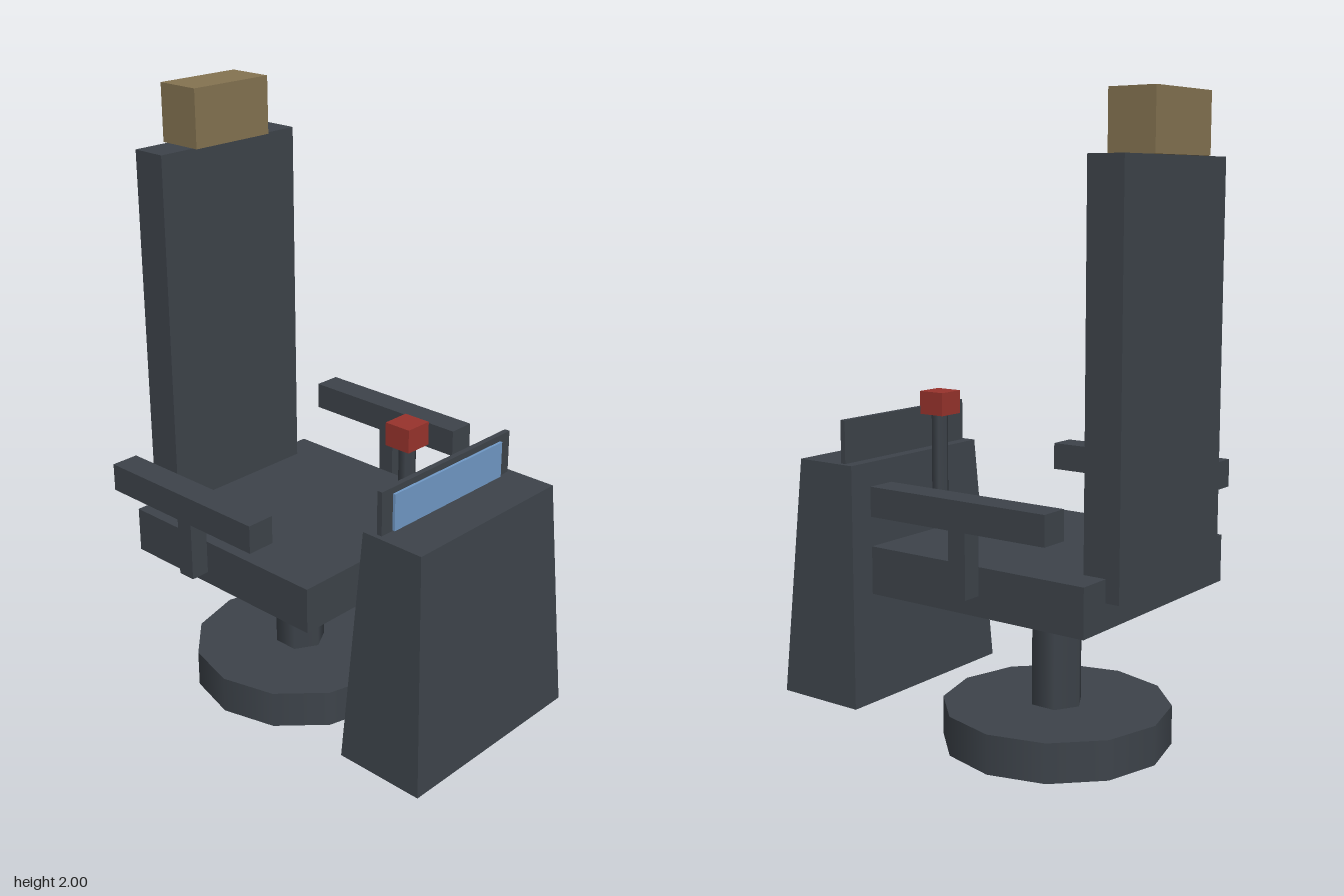
import * as THREE from 'three';

export function createModel() {
  const model = new THREE.Group();
  model.name = 'controlChair';

  const material = (name, color) => {
    const m = new THREE.MeshStandardMaterial({ color });
    m.name = name;
    return m;
  };
  const dark = material('dark grey', 0x3d434a);
  const tan = material('tan', 0x847351);
  const red = material('red', 0x98332c);
  const blue = material('screen blue', 0x7099c6);

  const add = (name, geometry, mat) => {
    const mesh = new THREE.Mesh(geometry, mat);
    mesh.name = name;
    model.add(mesh);
    return mesh;
  };
  // Box given by its extents along each axis
  const box = (name, mat, [x0, x1], [y0, y1], [z0, z1]) =>
    add(name, new THREE.BoxGeometry(x1 - x0, y1 - y0, z1 - z0), mat)
      .position.set((x0 + x1) / 2, (y0 + y1) / 2, (z0 + z1) / 2);
  // Upright cylinder between two heights
  const post = (name, radius, sides, y0, y1, z) =>
    add(name, new THREE.CylinderGeometry(radius, radius, y1 - y0, sides), dark)
      .position.set(0, (y0 + y1) / 2, z);

  // Chair foot and column
  post('base', 0.362, 12, 0, 0.125, -0.21);
  post('column', 0.085, 6, 0.125, 0.49, -0.21);

  // Seat, back and headrest
  box('seat', dark, [-0.39, 0.39], [0.49, 0.64], [-0.57, 0.21]);
  box('backrest', dark, [-0.28, 0.28], [0.57, 1.815], [-0.615, -0.495]);
  box('headrest', tan, [-0.153, 0.153], [1.815, 2], [-0.633, -0.478]);

  // Armrests on short posts, mirrored
  for (const [side, s] of [['left', 1], ['right', -1]]) {
    const span = (c, half) => [s * c - half, s * c + half];
    box(side + 'Armrest', dark, span(0.468, 0.046), [0.77, 0.86], [-0.525, 0.1]);
    box(side + 'ArmrestPost', dark, span(0.468, 0.031), [0.57, 0.77], [-0.24, -0.18]);
  }

  // Console: a box narrowed towards its top
  const console_ = new THREE.BoxGeometry(0.716, 0.777, 0.31);
  const p = console_.attributes.position;
  for (let i = 0; i < p.count; i++) {
    if (p.getY(i) > 0) {
      p.setX(i, p.getX(i) * 0.874);
      p.setZ(i, p.getZ(i) * 0.71);
    }
  }
  console_.computeVertexNormals();
  add('console', console_, dark).position.set(0, 0.4715, 0.474);

  // Display panel and screen
  box('displayPanel', dark, [-0.297, 0.297], [0.84, 1], [0.404, 0.422]);
  box('screen', blue, [-0.25, 0.25], [0.862, 0.98], [0.422, 0.431]);

  // Control lever with knob
  post('lever', 0.028, 6, 0.71, 1, 0.26);
  box('leverKnob', red, [-0.046, 0.046], [1, 1.075], [0.212, 0.304]);

  return model;
}
